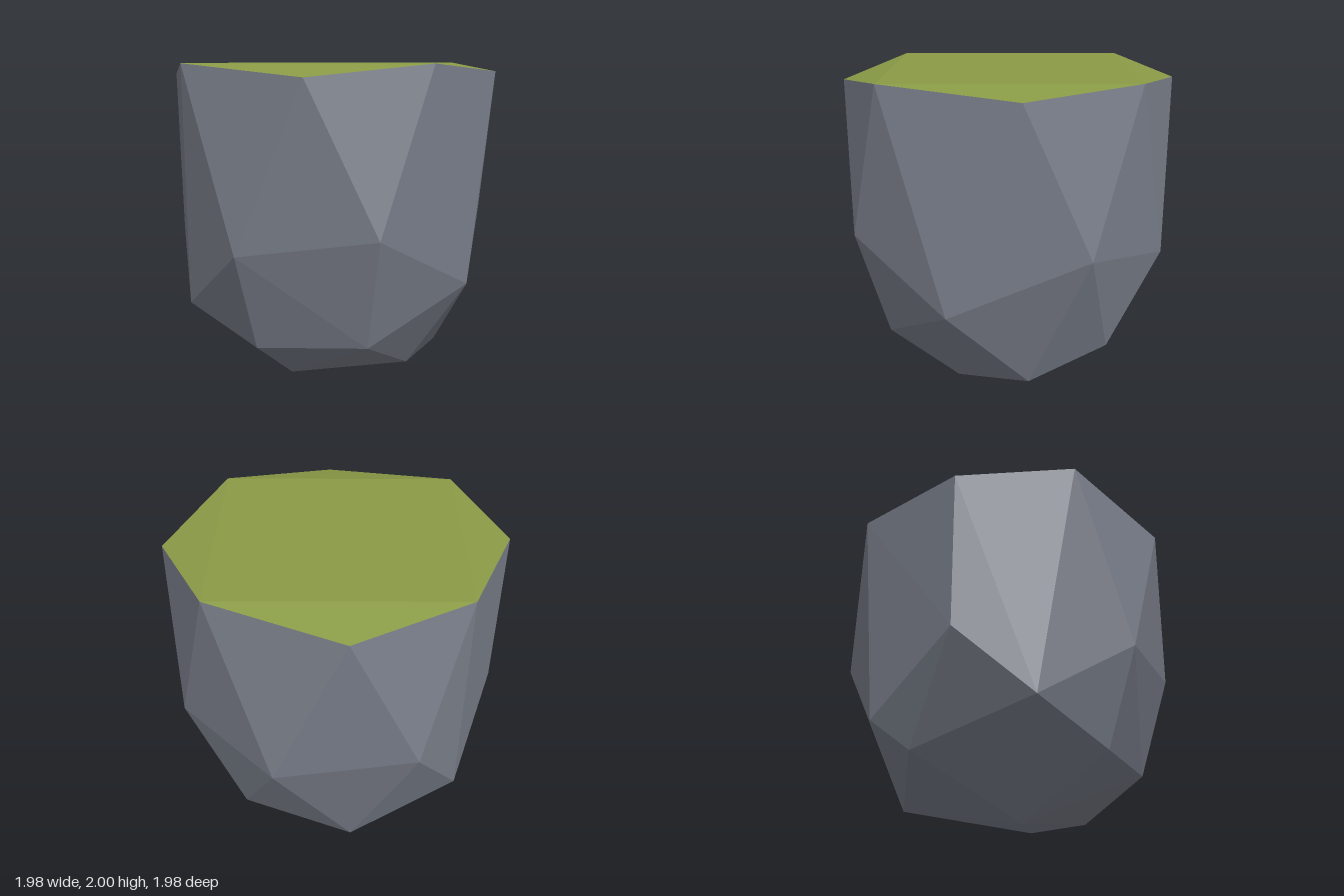
import * as THREE from 'three';
import { ConvexGeometry } from 'three/addons/geometries/ConvexGeometry.js';

// Corner rings of the faceted boulder, from the top down: [x, y, z]
const topRing = [
  [-0.22, 1.93, -0.99], [0.58, 2, -0.83], [0.99, 1.95, -0.23], [0.82, 2, 0.6],
  [0.22, 1.93, 0.99], [-0.6, 2, 0.82], [-0.99, 1.93, 0.22], [-0.82, 2, -0.6],
];
const middleRing = [
  [0.6, 1.06, 0.84], [0.94, 0.71, 0.21], [0.84, 1.06, -0.6], [0.22, 0.93, -0.97],
  [-0.6, 1.06, -0.84], [-0.97, 0.93, 0.21], [-0.71, 0.53, 0.6], [-0.21, 0.94, 0.97],
];
const lowerRing = [
  [-0.18, 0.35, 0.76], [0.48, 0.4, 0.68], [0.58, 0.18, 0.22], [0.64, 0.2, -0.22],
  [0.48, 0.4, -0.67], [-0.19, 0.21, -0.67], [-0.81, 0.57, -0.46], [-0.76, 0.35, -0.2],
];
const foot = [[-0.2, 0, 0.2]];

const stone = new THREE.MeshStandardMaterial({ name: 'stone grey', color: 0x7c818d });
const moss = new THREE.MeshStandardMaterial({ name: 'moss green', color: 0x8a9b46 });

function facetMesh(name, positions, material) {
  const geometry = new THREE.BufferGeometry();
  geometry.setAttribute('position', new THREE.Float32BufferAttribute(positions, 3));
  geometry.computeVertexNormals(); // unshared corners keep every facet flat
  const mesh = new THREE.Mesh(geometry, material);
  mesh.name = name;
  return mesh;
}

export function createModel() {
  const corners = [...topRing, ...middleRing, ...lowerRing, ...foot];
  const hull = new ConvexGeometry(corners.map((p) => new THREE.Vector3(...p)));

  // Facets joining only top-ring corners are the mossy cap; the rest is stone
  const coords = hull.attributes.position.array;
  const cap = [];
  const body = [];
  for (let i = 0; i < coords.length; i += 9) {
    const lowest = Math.min(coords[i + 1], coords[i + 4], coords[i + 7]);
    (lowest > 1.9 ? cap : body).push(...coords.slice(i, i + 9));
  }

  const group = new THREE.Group();
  group.name = 'mossyBoulder';
  group.add(facetMesh('rockBody', body, stone), facetMesh('mossCap', cap, moss));
  return group;
}
